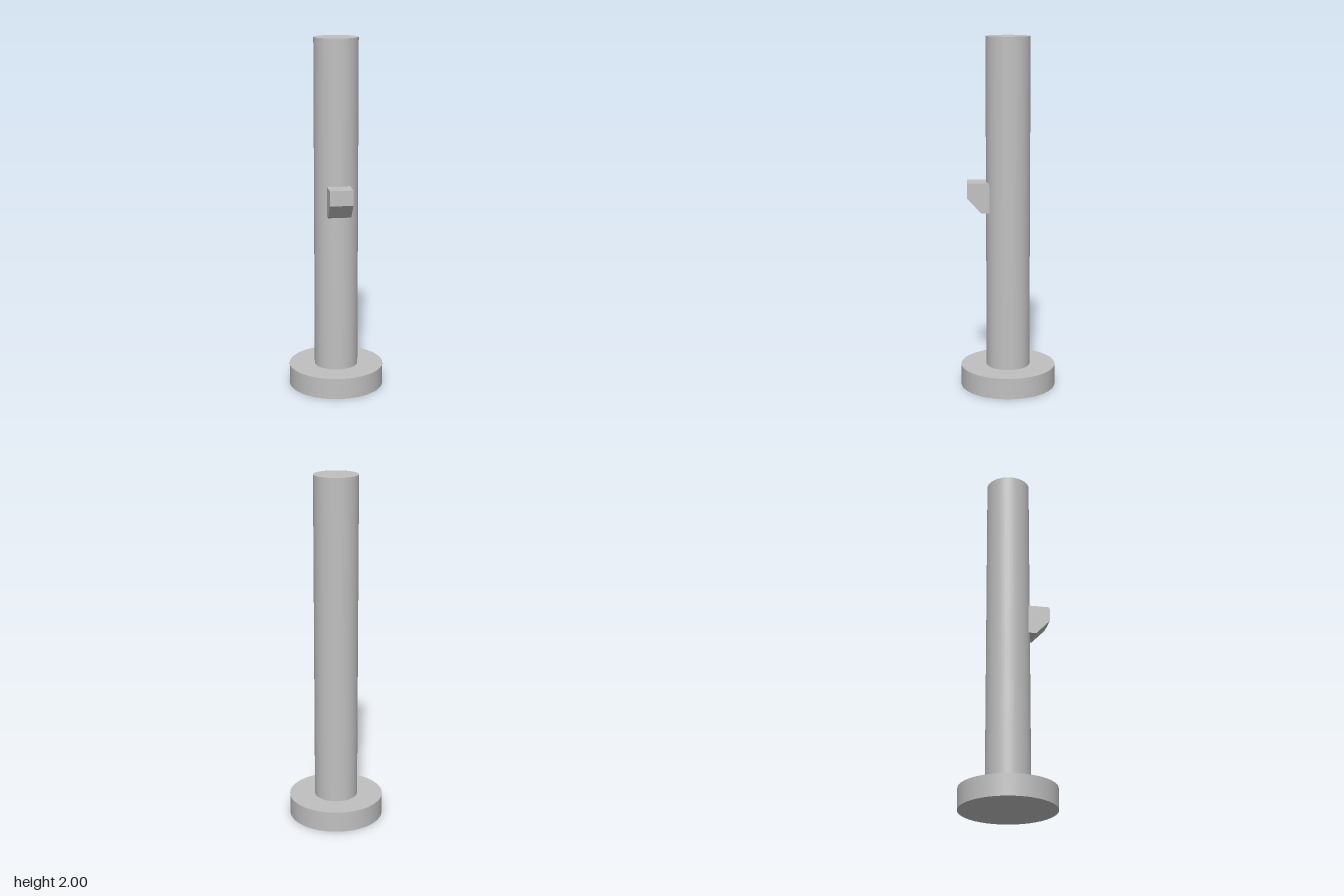
import * as THREE from 'three';

export function createModel() {
  const model = new THREE.Group();
  const grey = new THREE.MeshStandardMaterial({ color: 0xc0c0c0 });
  grey.name = 'light grey';

  const add = (name, geometry) => {
    const mesh = new THREE.Mesh(geometry, grey);
    mesh.name = name;
    model.add(mesh);
  };

  const disc = (radius, bottom, top) =>
    new THREE.CylinderGeometry(radius, radius, top - bottom, 96)
      .translate(0, (bottom + top) / 2, 0);

  // Round foot and tall shaft
  add('baseFlange', disc(0.27, 0, 0.12));
  add('shaft', disc(0.124, 0.12, 2));

  // Side lug with a chamfered lower front edge, rooted in the shaft
  const profile = new THREE.Shape([
    [0.09, 1.02], [0.15, 1.02], [0.23, 1.105], [0.23, 1.19], [0.09, 1.19],
  ].map(([z, y]) => new THREE.Vector2(z, y)));
  const width = 0.13;
  const lug = new THREE.ExtrudeGeometry(profile, { depth: width, bevelEnabled: false })
    .translate(0, 0, -width / 2)
    .rotateY(-Math.PI / 2);
  add('lug', lug);

  return model;
}
